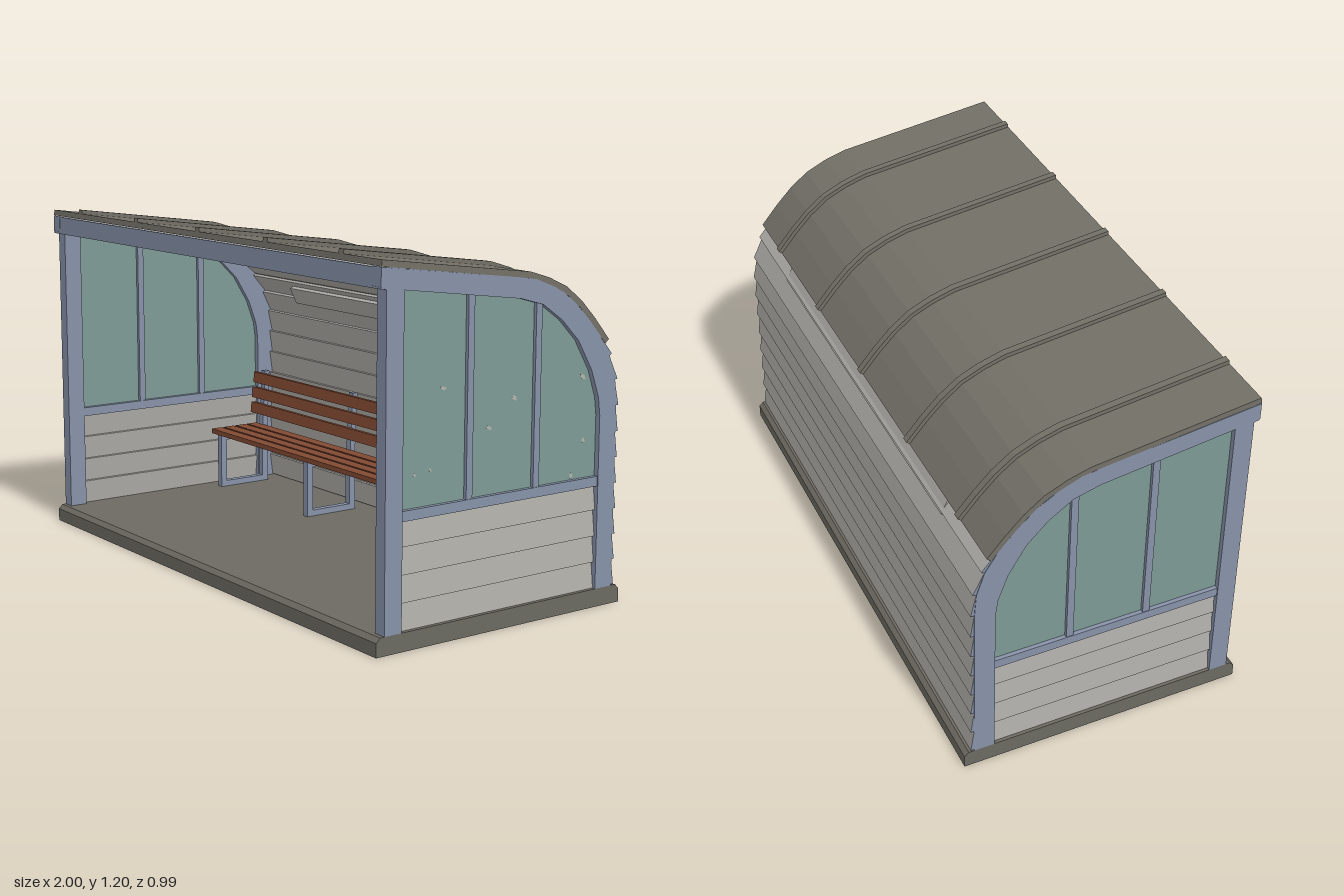
import * as THREE from 'three';

const mat = (name, color, extra = {}) => {
  const m = new THREE.MeshStandardMaterial({ color, ...extra });
  m.name = name;
  return m;
};
const M = {
  siding: mat('pale siding', 0xb0aea9),
  frame: mat('blue grey frame', 0x8792a8),
  glass: mat('green glass', 0x7d9a94),
  roof: mat('roof sheet', 0x737067),
  base: mat('concrete base', 0x6c6a61),
  wood: mat('brown timber', 0x824a33),
  sand: mat('drifted sand', 0xac9e7e, { side: THREE.DoubleSide }),
  chip: mat('glass chips', 0xb4b4ae),
};

// All profiles are lists of [z, y]; extrudeX sweeps one from x0 to x1.
function extrudeX(pts, x0, x1) {
  const shape = new THREE.Shape(pts.map(([z, y]) => new THREE.Vector2(z, y)));
  const g = new THREE.ExtrudeGeometry(shape, { depth: x1 - x0, bevelEnabled: false });
  g.rotateY(-Math.PI / 2);
  return g.translate(x1, 0, 0);
}

function add(parent, name, geometry, material) {
  const mesh = new THREE.Mesh(geometry, material);
  mesh.name = name;
  parent.add(mesh);
  return mesh;
}

function box(parent, name, material, x0, x1, y0, y1, z0, z1) {
  const g = new THREE.BoxGeometry(x1 - x0, y1 - y0, z1 - z0);
  const mesh = add(parent, name, g, material);
  mesh.position.set((x0 + x1) / 2, (y0 + y1) / 2, (z0 + z1) / 2);
  return mesh;
}

// Shift a polyline sideways; positive is outwards for rear-to-front paths
function offset(pts, d) {
  return pts.map((p, i) => {
    const a = pts[Math.max(i - 1, 0)], b = pts[Math.min(i + 1, pts.length - 1)];
    const dz = b[0] - a[0], dy = b[1] - a[1], l = Math.hypot(dz, dy);
    return [p[0] - (dy / l) * d, p[1] + (dz / l) * d];
  });
}
const band = (pts, d0, d1) => [...offset(pts, d0), ...offset(pts, d1).reverse()];

const ROOF = [[-0.405, 0.86], [-0.345, 0.93], [-0.288, 0.988], [-0.226, 1.036],
  [-0.155, 1.068], [-0.083, 1.09], [0.484, 1.164]];
const SHELL = [[-0.46, 0.063], [-0.46, 0.25], [-0.46, 0.45], [-0.46, 0.65], [-0.455, 0.73], [-0.43, 0.81],
  ...ROOF.slice(0, -1), [0.2, 1.126], [0.475, 1.16]];
// Window head, from front to rear
const HEAD = [[0.4, 1.09], [-0.05, 1.03], [-0.14, 1.005], [-0.22, 0.95], [-0.29, 0.88],
  [-0.35, 0.78], [-0.382, 0.69], [-0.39, 0.63]];

function buildShell(root) {
  const g = new THREE.Group();
  g.name = 'wallAndCeilingBoards';
  root.add(g);
  // Overlapping boards run up the rear wall and on under the roof
  const pts = new THREE.SplineCurve(SHELL.map((p) => new THREE.Vector2(...p)))
    .getSpacedPoints(21).map((v) => [v.x, v.y]);
  const out = offset(pts, 0.012), inn = offset(pts, -0.012);
  for (let i = 0; i < pts.length - 1; i++) {
    add(g, 'board', extrudeX([pts[i], out[i], pts[i + 1], inn[i + 1]], -0.998, 0.998), [M.frame, M.siding]);
  }
  return pts;
}

function buildSide(root, s, shellPts) {
  const g = new THREE.Group();
  g.name = s > 0 ? 'leftEnd' : 'rightEnd';
  root.add(g);
  const span = (a, b) => (s > 0 ? [a, b] : [-b, -a]);

  // Curved end frame with front post
  const outline = [[-0.46, 0.055], ...shellPts, [0.485, 1.163], [0.485, 1.105], [0.465, 1.095],
    [0.465, 0.055], [0.4, 0.055], ...HEAD, [-0.39, 0.055]];
  add(g, 'endFrame', extrudeX(outline, ...span(0.955, 1)), M.frame);
  add(g, 'glass', extrudeX([[0.41, 0.42], [0.41, 1.095], ...HEAD.slice(1).map(([z, y]) => [z - 0.005, y + 0.005]),
    [-0.395, 0.42]], ...span(0.974, 0.982)), M.glass);
  box(g, 'windowRail', M.frame, ...span(0.958, 0.996), 0.4, 0.432, -0.392, 0.402);
  box(g, 'mullion', M.frame, ...span(0.962, 0.994), 0.42, 1.058, 0.128, 0.152);
  box(g, 'mullion', M.frame, ...span(0.962, 0.994), 0.42, 1.015, -0.142, -0.118);

  // Low boarded wall
  for (let i = 0; i < 4; i++) {
    const y = 0.06 + i * 0.0865;
    const b = box(g, 'lowWallBoard', M.siding, ...span(0.97, 0.984), y, y + 0.0865, -0.395, 0.405);
    b.rotation.z = s * 0.12;
  }
}

function buildChips(root) {
  const spots = [[0.237, 0.783, 0.012], [0.055, 0.64, 0.011], [-0.045, 0.722, 0.012], [-0.33, 0.76, 0.014],
    [0.344, 0.532, 0.008], [0.284, 0.54, 0.007], [-0.337, 0.554, 0.01], [-0.287, 0.446, 0.011]];
  spots.forEach(([z, y, r], k) => {
    const pts = [];
    for (let i = 0; i < 6; i++) {
      const a = (i / 6) * Math.PI * 2 + k, q = r * (0.75 + 0.35 * Math.sin(i * 2.3 + k * 1.7));
      pts.push([z + Math.cos(a) * q * 1.15, y + Math.sin(a) * q * 0.9]);
    }
    add(root, 'glassChip', extrudeX(pts, 0.9735, 0.9825), M.chip);
  });
}

function buildBench(root) {
  const g = new THREE.Group();
  g.name = 'bench';
  root.add(g);
  for (const z of [-0.182, -0.238, -0.294, -0.35]) {
    box(g, 'seatSlat', M.wood, -0.94, 0.94, 0.27, 0.288, z - 0.023, z + 0.023);
  }
  [0.355, 0.415, 0.475].forEach((y, i) => {
    const z = -0.356 - i * 0.007;
    box(g, 'backSlat', M.wood, -0.94, 0.94, y - 0.021, y + 0.021, z - 0.01, z + 0.01).rotation.x = -0.1;
  });
  for (const x of [-0.9, -0.31, 0.31, 0.9]) {
    const a = x - 0.0125, b = x + 0.0125;
    box(g, 'frontLeg', M.frame, a, b, 0.06, 0.27, -0.195, -0.17);
    box(g, 'rearLeg', M.frame, a, b, 0.06, 0.27, -0.39, -0.365);
    box(g, 'footBar', M.frame, a, b, 0.06, 0.082, -0.39, -0.17);
    box(g, 'seatBar', M.frame, a, b, 0.248, 0.27, -0.39, -0.17);
    add(g, 'backPost', extrudeX([[-0.388, 0.26], [-0.366, 0.26], [-0.379, 0.505], [-0.4, 0.505]], a, b), M.frame);
  }
}

// Drift heaped into the rear corner: a polar grid with an uneven rim
function buildSand(root) {
  const rim = [0.65, 0.6, 0.5, 0.42, 0.39, 0.47, 0.64, 0.72, 0.76, 0.74];
  const cols = rim.length - 1, rows = 5, pos = [], idx = [];
  for (let i = 0; i <= cols; i++) {
    const a = (i / cols) * Math.PI / 2;
    for (let j = 0; j <= rows; j++) {
      const t = j / rows, r = rim[i] * t;
      const h = 0.058 + 0.072 * (1 - t) ** 0.8 + (j > 0 && j < rows ? 0.008 * Math.sin(i * 2.1 + j * 1.7) : 0);
      pos.push(0.96 - Math.cos(a) * r, h, -0.44 + Math.sin(a) * r);
      if (i < cols && j < rows) {
        const p = i * (rows + 1) + j, q = p + rows + 1;
        idx.push(p, q, p + 1, q, q + 1, p + 1);
      }
    }
  }
  let geo = new THREE.BufferGeometry();
  geo.setAttribute('position', new THREE.Float32BufferAttribute(pos, 3));
  // Corner order is flipped so that the top faces up
  for (let k = 0; k < idx.length; k += 3) [idx[k + 1], idx[k + 2]] = [idx[k + 2], idx[k + 1]];
  geo.setIndex(idx);
  const up = new THREE.Vector3().subVectors(new THREE.Vector3(...pos.slice(21, 24)), new THREE.Vector3(...pos.slice(3, 6)))
    .cross(new THREE.Vector3(...pos.slice(6, 9)).sub(new THREE.Vector3(...pos.slice(3, 6)))).y;
  if (up > 0) for (let k = 0; k < idx.length; k += 3) [idx[k + 1], idx[k + 2]] = [idx[k + 2], idx[k + 1]];
  geo.setIndex(idx);
  geo = geo.toNonIndexed();
  geo.computeVertexNormals();
  add(root, 'sandDrift', geo, M.sand);
}

export function createModel() {
  const root = new THREE.Group();
  root.name = 'shelter';

  // Base slab with chamfered long edges
  add(root, 'base', extrudeX([[-0.495, 0], [-0.495, 0.045], [-0.48, 0.06], [0.48, 0.06], [0.495, 0.045], [0.495, 0]], -1, 1), M.base);

  const shellPts = buildShell(root);
  for (const s of [1, -1]) buildSide(root, s, shellPts);
  buildChips(root);

  // Roof sheet, raised ribs and front beam
  add(root, 'roof', extrudeX(band(ROOF, 0.02, 0), -1, 1), M.roof);
  for (let i = -2; i <= 2; i++) {
    add(root, 'roofRib', extrudeX(band(ROOF, 0.034, 0.015), i * 0.4 - 0.0125, i * 0.4 + 0.0125), M.roof);
  }
  box(root, 'frontBeam', M.frame, -0.999, 0.999, 1.098, 1.16, 0.45, 0.484);

  // Tilted light box on the curve of the rear wall
  const lamp = box(root, 'lightBox', M.siding, -0.7, 0.7, 0.803, 0.87, -0.425, -0.385);
  lamp.rotation.x = 0.45;

  buildBench(root);
  buildSand(root);
  return root;
}
